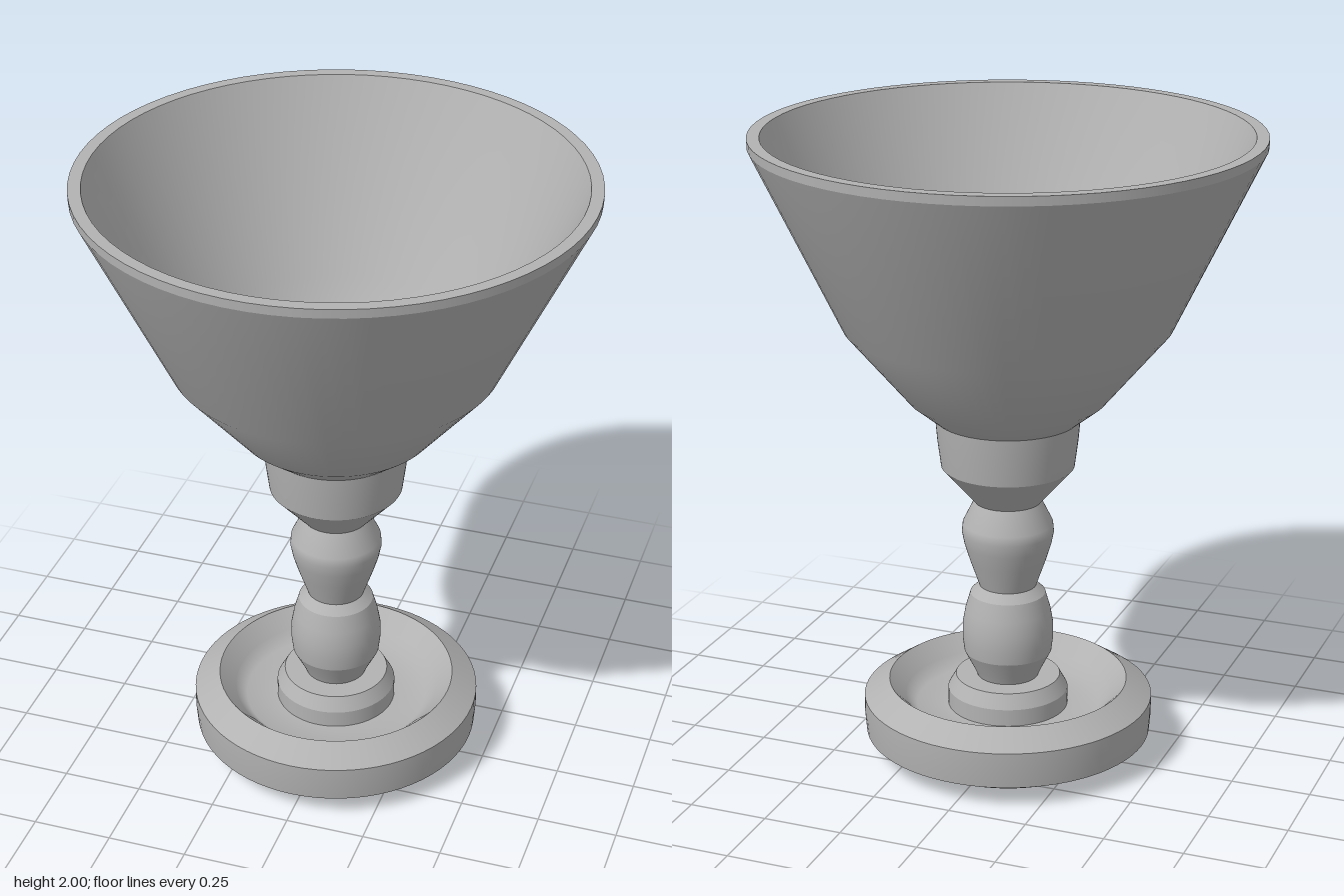
import * as THREE from 'three';

const SEGMENTS = 72;

export function createModel() {
  const model = new THREE.Group();
  model.name = 'goblet';
  const grey = new THREE.MeshStandardMaterial({ color: 0xb2b2b2 });
  grey.name = 'plain grey';

  // Each section is a smooth [radius, height] run; edges between sections stay sharp.
  function turnedPart(name, sections) {
    const part = new THREE.Group();
    part.name = name;
    sections.forEach((points, i) => {
      const profile = points.map(([r, y]) => new THREE.Vector2(r, y));
      const mesh = new THREE.Mesh(new THREE.LatheGeometry(profile, SEGMENTS), grey);
      mesh.name = `${name}Section${i + 1}`;
      part.add(mesh);
    });
    model.add(part);
  }

  // Round foot: hollow underside, bevelled rim, ring groove and central boss
  turnedPart('foot', [
    [[0, 0.09], [0.08, 0.08], [0.16, 0.045], [0.215, 0]],
    [[0.215, 0], [0.34, 0.01], [0.452, 0.069]],
    [[0.452, 0.069], [0.457, 0.13], [0.457, 0.186]],
    [[0.457, 0.186], [0.377, 0.239]],
    [[0.377, 0.239], [0.325, 0.185]],
    [[0.325, 0.185], [0.29, 0.15], [0.19, 0.15]],
    [[0.19, 0.15], [0.19, 0.205]],
    [[0.19, 0.205], [0.165, 0.25]],
    [[0.165, 0.25], [0.09, 0.25]],
  ]);

  // Lower stem bead with its flared neck
  turnedPart('lowerStem', [
    [[0.095, 0.245], [0.108, 0.275], [0.138, 0.334]],
    [[0.138, 0.334], [0.143, 0.375], [0.143, 0.425], [0.134, 0.475], [0.118, 0.53]],
    [[0.118, 0.53], [0.09, 0.557]],
  ]);

  // Upper stem bead
  turnedPart('upperStem', [
    [[0.09, 0.557], [0.119, 0.64], [0.136, 0.695], [0.144, 0.735], [0.141, 0.765], [0.105, 0.838]],
  ]);

  // Collar holding the bowl
  turnedPart('collar', [
    [[0.105, 0.838], [0.207, 0.955]],
    [[0.207, 0.955], [0.218, 1.04], [0.224, 1.11]],
  ]);

  // Bowl: outer wall, rim band, flat lip and hollow inside
  turnedPart('bowl', [
    [[0.224, 1.11], [0.305, 1.175], [0.503, 1.41], [0.772, 1.972]],
    [[0.772, 1.972], [0.773, 2]],
    [[0.773, 2], [0.735, 2]],
    [[0.735, 2], [0.47, 1.43], [0.28, 1.205], [0.2, 1.145], [0.12, 1.065], [0, 1.03]],
  ]);

  return model;
}
